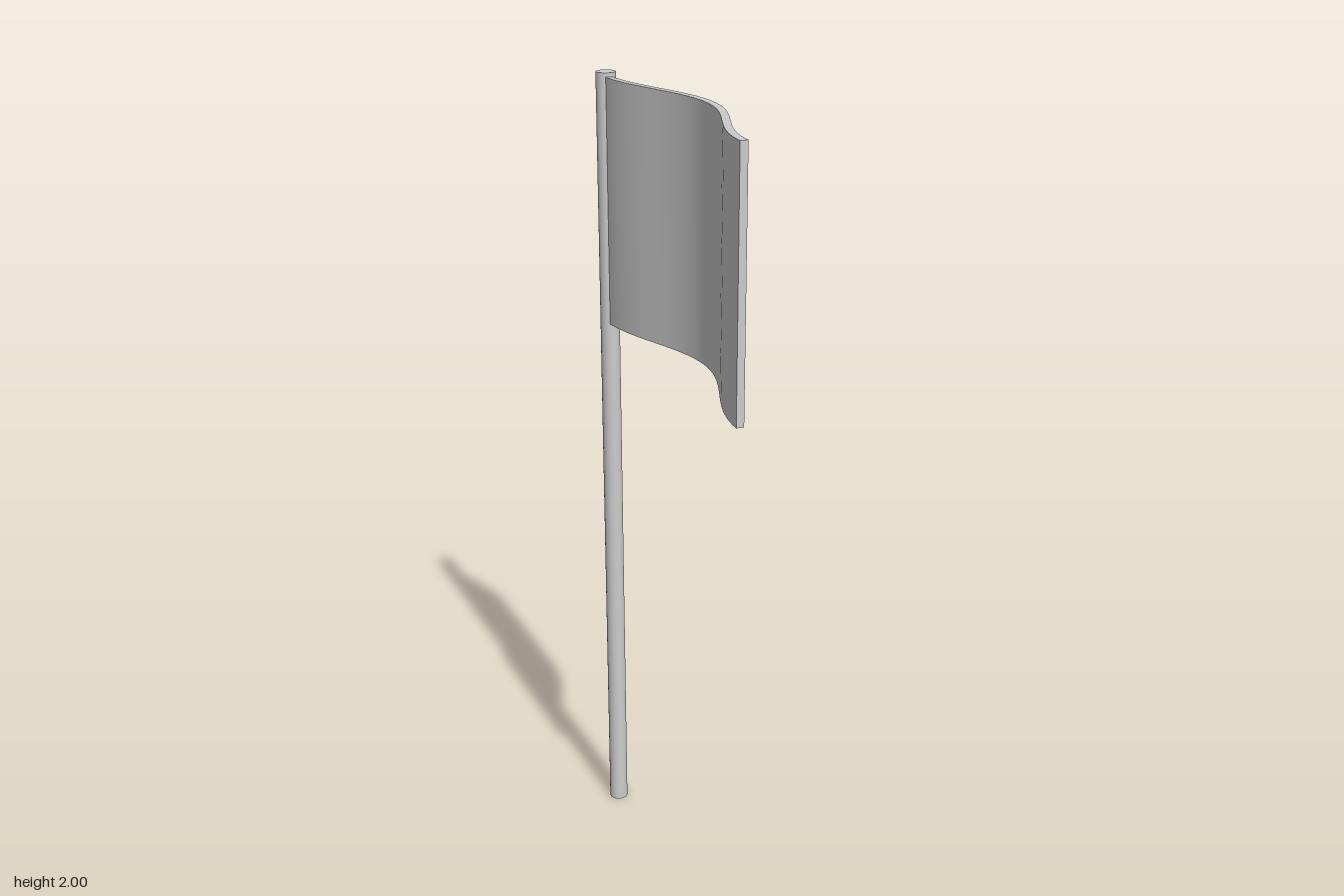
import * as THREE from 'three';
import { toCreasedNormals } from 'three/addons/utils/BufferGeometryUtils.js';

const POLE_X = -0.041, POLE_Z = -0.389, POLE_R = 0.024;
const FLAG_LENGTH = 0.801, FLAG_HEIGHT = 0.6, FLAG_BOTTOM = 1.39;
const WAVE = 0.048, HALF_THICKNESS = 0.009, STEPS = 40;

// Point on the waving cloth at t (0 at the pole, 1 at the free edge), offset along its normal.
function clothPoint(t, offset) {
  const a = 2 * Math.PI * t;
  const slope = WAVE * 2 * Math.PI * Math.sin(a) / FLAG_LENGTH;
  const n = new THREE.Vector2(1, -slope).normalize().multiplyScalar(offset);
  const x = POLE_X + WAVE * (1 - Math.cos(a)) + n.x;
  const z = POLE_Z + FLAG_LENGTH * t + n.y;
  return new THREE.Vector2(x, -z);
}

export function createModel() {
  const group = new THREE.Group();
  group.name = 'flagOnPole';
  const material = new THREE.MeshStandardMaterial({ color: 0xcccccc });

  // Pole
  const pole = new THREE.Mesh(new THREE.CylinderGeometry(POLE_R, POLE_R, 2, 32), material);
  pole.name = 'pole';
  pole.position.set(POLE_X, 1, POLE_Z);
  group.add(pole);

  // Flag: one full wave seen from above, raised to the cloth's height
  const near = [], far = [];
  for (let i = 0; i <= STEPS; i++) {
    near.push(clothPoint(i / STEPS, HALF_THICKNESS));
    far.unshift(clothPoint(i / STEPS, -HALF_THICKNESS));
  }
  const geometry = new THREE.ExtrudeGeometry(new THREE.Shape([...near, ...far]), {
    depth: FLAG_HEIGHT, bevelEnabled: false, steps: 1,
  });
  geometry.rotateX(-Math.PI / 2);
  const flag = new THREE.Mesh(toCreasedNormals(geometry, Math.PI / 6), material);
  flag.name = 'flag';
  flag.position.y = FLAG_BOTTOM;
  group.add(flag);

  return group;
}
